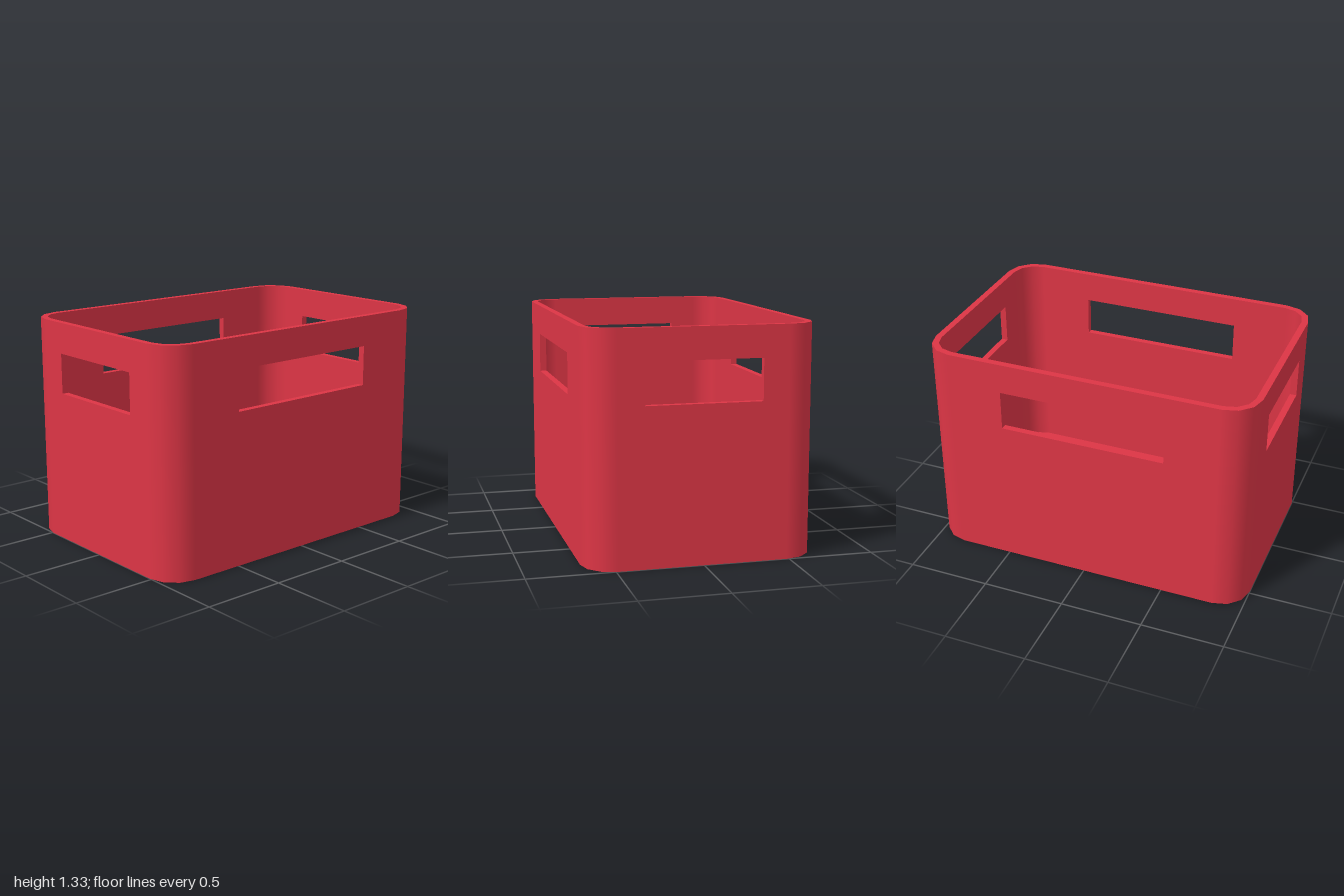
import * as THREE from 'three';

const HX = 1, HZ = 0.667, HEIGHT = 1.333;
const RADIUS = 0.18, WALL = 0.04, FLOOR = 0.04;
const SILL = 0.91, LINTEL = 1.15;

// Rounded-rectangle outline with normals; a straight side also carries its opening's two edges
function makeOutline() {
  const points = [];
  const signs = [[1, 1], [-1, 1], [-1, -1], [1, -1]];
  signs.forEach(([sx, sz], k) => {
    for (let i = 0; i <= 3; i++) {
      const a = (k + i / 3) * Math.PI / 2;
      const nx = Math.cos(a), nz = Math.sin(a);
      points.push({ x: sx * (HX - RADIUS) + nx * RADIUS, z: sz * (HZ - RADIUS) + nz * RADIUS, nx, nz });
    }
    const end = points[points.length - 1];
    const alongX = k % 2 === 0;
    const half = alongX ? HX / 2 : HZ / 2;
    const dir = alongX ? -sx : -sz;
    [-half, half].forEach((s, i) => points.push({
      ...end, [alongX ? 'x' : 'z']: s * dir, opening: i === 0,
    }));
  });
  return points;
}

// Collects quads; normals are given per corner, or computed flat when left out
function quadBuilder() {
  const pos = [], nor = [];
  return {
    add(corners, normals) {
      const [p, q, r] = corners.map((c) => new THREE.Vector3(...c));
      const flat = q.clone().sub(p).cross(r.clone().sub(p)).normalize().toArray();
      for (const i of [0, 1, 2, 0, 2, 3]) {
        pos.push(...corners[i]);
        nor.push(...(normals ? normals[i] : flat));
      }
    },
    build() {
      const g = new THREE.BufferGeometry();
      g.setAttribute('position', new THREE.Float32BufferAttribute(pos, 3));
      g.setAttribute('normal', new THREE.Float32BufferAttribute(nor, 3));
      return g;
    },
  };
}

export function createModel() {
  const group = new THREE.Group();
  group.name = 'crate';
  const red = new THREE.MeshStandardMaterial({ color: 0xdc3545 });
  red.name = 'red plastic';
  const addPart = (name, geometry) => {
    const mesh = new THREE.Mesh(geometry, red);
    mesh.name = name;
    group.add(mesh);
    return mesh;
  };

  const outline = makeOutline();
  const outer = (p, y) => [p.x, y, p.z];
  const inner = (p, y) => [p.x - p.nx * WALL, y, p.z - p.nz * WALL];
  const outside = quadBuilder(), inside = quadBuilder();
  const rim = quadBuilder(), openings = quadBuilder();

  outline.forEach((a, i) => {
    const b = outline[(i + 1) % outline.length];
    const na = [a.nx, 0, a.nz], nb = [b.nx, 0, b.nz];
    const ia = na.map((v) => -v), ib = nb.map((v) => -v);

    // Wall strips, leaving out the hand openings
    [[0, SILL], [SILL, LINTEL], [LINTEL, HEIGHT]].forEach(([y0, y1], band) => {
      if (band === 1 && a.opening) return;
      outside.add([outer(b, y0), outer(a, y0), outer(a, y1), outer(b, y1)], [nb, na, na, nb]);
      const f = Math.max(y0, FLOOR);
      inside.add([inner(a, f), inner(b, f), inner(b, y1), inner(a, y1)], [ia, ib, ib, ia]);
    });

    // Top edge
    rim.add([outer(a, HEIGHT), inner(a, HEIGHT), inner(b, HEIGHT), outer(b, HEIGHT)]);

    // Sill, lintel and both sides of each opening
    if (a.opening) {
      openings.add([outer(a, SILL), inner(a, SILL), inner(b, SILL), outer(b, SILL)]);
      openings.add([outer(a, LINTEL), outer(b, LINTEL), inner(b, LINTEL), inner(a, LINTEL)]);
      openings.add([outer(a, SILL), outer(a, LINTEL), inner(a, LINTEL), inner(a, SILL)]);
      openings.add([outer(b, SILL), inner(b, SILL), inner(b, LINTEL), outer(b, LINTEL)]);
    }
  });

  addPart('outerWall', outside.build());
  addPart('innerWall', inside.build());
  addPart('rim', rim.build());
  addPart('handleOpenings', openings.build());

  // Underside and inner floor
  const sheet = (edge) => new THREE.ShapeGeometry(new THREE.Shape(outline.map((p) => {
    const [x, , z] = edge(p, 0);
    return new THREE.Vector2(x, z);
  })));
  addPart('underside', sheet(outer).rotateX(Math.PI / 2));
  addPart('floor', sheet(inner).rotateX(-Math.PI / 2).translate(0, FLOOR, 0));

  return group;
}
